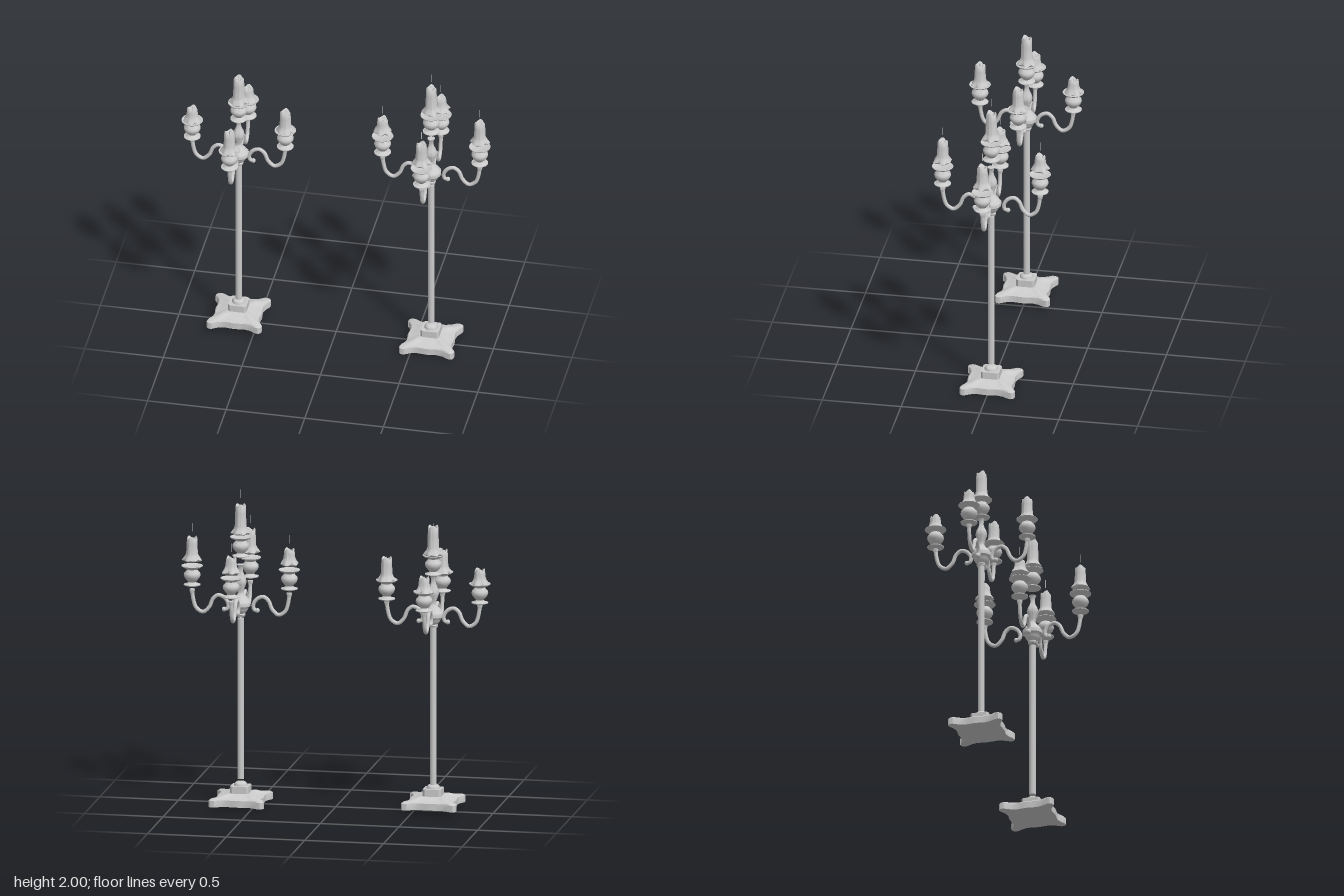
import * as THREE from 'three';
import { toCreasedNormals } from 'three/addons/utils/BufferGeometryUtils.js';

const material = new THREE.MeshStandardMaterial({ color: 0xcccccc, side: THREE.DoubleSide });

function add(parent, name, geometry, x = 0, y = 0, z = 0) {
  const mesh = new THREE.Mesh(geometry, material);
  mesh.name = name;
  mesh.position.set(x, y, z);
  parent.add(mesh);
  return mesh;
}

function lathe(points, segments = 24) {
  const profile = points.map(([r, y]) => new THREE.Vector2(r, y));
  return toCreasedNormals(new THREE.LatheGeometry(profile, segments), 0.8);
}

// Foot: a scalloped square outline lofted through shrinking rings
function footGeometry() {
  const quarter = [[0.175, 0.14], [0.17, 0.165], [0.155, 0.174], [0.135, 0.17], [0.1, 0.15],
    [0.065, 0.141], [0.03, 0.145], [0, 0.148], [-0.03, 0.145], [-0.065, 0.141], [-0.1, 0.15], [-0.135, 0.17], [-0.155, 0.174]];
  const outline = [];
  for (let k = 0; k < 4; k++) {
    const c = Math.round(Math.cos(k * Math.PI / 2)), s = Math.round(Math.sin(k * Math.PI / 2));
    for (const [a, b] of quarter) outline.push([a * c - b * s, a * s + b * c]);
  }
  const rings = [[0, 0], [1, 0], [1, 0.042], [0.95, 0.049], [0.72, 0.054], [0.52, 0.068], [0, 0.07]];
  const n = outline.length, positions = [], index = [];
  for (const [scale, y] of rings) for (const [x, z] of outline) positions.push(x * scale, y, z * scale);
  for (let r = 0; r < rings.length - 1; r++) {
    for (let i = 0; i < n; i++) {
      const a = r * n + i, b = r * n + (i + 1) % n;
      index.push(a, a + n, b, b, a + n, b + n);
    }
  }
  const geometry = new THREE.BufferGeometry();
  geometry.setAttribute('position', new THREE.Float32BufferAttribute(positions, 3));
  geometry.setIndex(index);
  return toCreasedNormals(geometry, 0.6);
}

// Square block with cut corners
function blockGeometry() {
  const s = 0.058, c = 0.046;
  const shape = new THREE.Shape([[s, -c], [s, c], [c, s], [-c, s], [-s, c], [-s, -c], [-c, -s], [c, -s]]
    .map(([x, y]) => new THREE.Vector2(x, y)));
  return new THREE.ExtrudeGeometry(shape, { depth: 0.053, bevelEnabled: false }).rotateX(-Math.PI / 2);
}

// Candle: wax skirt with drips, ragged hollow rim
function candleGeometry(h, phase) {
  const profile = [[0, 0], [0.045, 0], [0.056, 0.01], [0.049, 0.024], [0.041, 0.036], [0.036, 0.052],
    [0.034, h * 0.7], [0.032, h - 0.008], [0.028, h], [0.022, h - 0.004], [0.016, h - 0.018], [0, h - 0.02]];
  const geometry = new THREE.LatheGeometry(profile.map(([r, y]) => new THREE.Vector2(r, y)), 36);
  const p = geometry.attributes.position;
  for (let i = 0; i < p.count; i++) {
    const x = p.getX(i), y = p.getY(i), z = p.getZ(i), t = Math.atan2(z, x);
    const skirt = Math.max(0, 1 - y / 0.06), rim = Math.max(0, 1 - (h - y) / 0.03);
    const lobes = 0.6 * Math.cos(6 * t + phase) + 0.4 * Math.cos(4 * t + 2 * phase);
    const k = 1 + 0.2 * skirt * lobes + 0.03 * Math.cos(5 * t + phase);
    const lift = Math.hypot(x, z) > 0.01 ? rim * 0.008 * (Math.sin(3 * t + phase) - 0.4) : 0;
    p.setXYZ(i, x * k, y + lift - (y > 0.005 ? skirt * 0.005 * lobes : 0), z * k);
  }
  return toCreasedNormals(geometry, 0.9);
}

const cup = lathe([[0, 0], [0.022, 0], [0.03, 0.006], [0.052, 0.01], [0.053, 0.015], [0.03, 0.021], [0.023, 0.03],
  [0.034, 0.042], [0.047, 0.058], [0.053, 0.074], [0.05, 0.088], [0.037, 0.102], [0.033, 0.11],
  [0.042, 0.118], [0.058, 0.123], [0.068, 0.133], [0.066, 0.136], [0.045, 0.13], [0, 0.128]]);

const hub = lathe([[0, 0], [0.028, 0], [0.03, 0.012], [0.025, 0.018], [0.036, 0.028], [0.046, 0.045], [0.05, 0.058],
  [0.062, 0.066], [0.063, 0.09], [0.054, 0.1], [0.044, 0.115], [0.026, 0.135], [0.018, 0.15], [0.022, 0.172],
  [0.034, 0.205], [0.037, 0.222], [0.031, 0.245], [0.02, 0.268], [0.014, 0.29], [0.016, 0.315], [0.024, 0.33], [0, 0.33]]);

// S-curved arm, from the inner curl out to the cup seat
const armPath = new THREE.CatmullRomCurve3([[0.106, 1.232], [0.088, 1.235], [0.079, 1.262], [0.1, 1.303], [0.143, 1.321],
  [0.176, 1.297], [0.2, 1.243], [0.24, 1.21], [0.283, 1.235], [0.302, 1.29], [0.309, 1.353]]
  .map(([x, y]) => new THREE.Vector3(x, y, 0)));
const arm = new THREE.TubeGeometry(armPath, 48, 0.0125, 10);
const curlEnd = new THREE.SphereGeometry(0.015, 12, 8);
const armSocket = lathe([[0, -0.025], [0.013, -0.025], [0.018, -0.006], [0.018, 0], [0, 0]], 16);
const wick = new THREE.CylinderGeometry(0.002, 0.002, 0.053, 6).translate(0, 0.0265, 0);

function addLight(parent, name, x, cupY, candleY, height, wickGap, phase) {
  const group = new THREE.Group();
  group.name = name;
  group.position.x = x;
  add(group, 'cup', cup, 0, cupY);
  add(group, 'candle', candleGeometry(height, phase), 0, candleY);
  add(group, 'wick', wick, 0, candleY + height + wickGap);
  parent.add(group);
}

// d holds the offsets that either join or separate the parts
function candelabrum(name, x, d) {
  const group = new THREE.Group();
  group.name = name;
  group.position.x = x;

  add(group, 'foot', footGeometry(), 0, d.foot);
  add(group, 'footBlock', blockGeometry(), 0, d.foot + 0.06);
  add(group, 'footCollar', lathe([[0.042, 0], [0.042, 0.008], [0.034, 0.018], [0.026, 0.024], [0, 0.024]]), 0, d.foot + 0.113);
  add(group, 'pole', new THREE.CylinderGeometry(0.021, 0.021, 1.025, 20), 0, 0.6675);
  add(group, 'hub', hub, 0, d.hub);
  addLight(group, 'centreLight', 0, d.centreCup, d.centreCandle, 0.19, d.centreWick, 0.4);

  // Four arms: tall candles at left and front, short ones at right and back
  ['left', 'back', 'right', 'front'].forEach((side, i) => {
    const branch = new THREE.Group();
    branch.name = side + 'Branch';
    branch.rotation.y = i * Math.PI / 2;
    add(branch, 'arm', arm, d.armOut, d.armUp);
    add(branch, 'armCurl', curlEnd, 0.106 + d.armOut, 1.232 + d.armUp);
    add(branch, 'armSocket', armSocket, 0.309 + d.armOut, 1.353 + d.armUp);
    const height = side === 'left' || side === 'front' ? 0.155 : 0.105;
    addLight(branch, 'light', 0.309 + d.armOut, d.cup, d.candle, height, d.wick, i * 1.3);
    group.add(branch);
  });
  return group;
}

export function createModel() {
  const model = new THREE.Group();
  model.name = 'candelabra';
  model.add(candelabrum('joinedCandelabrum', -0.62, {
    foot: 0.033, hub: 1.175, centreCup: 1.5, centreCandle: 1.63, centreWick: -0.038,
    armOut: -0.013, armUp: -0.022, cup: 1.33, candle: 1.452, wick: -0.05 }));
  model.add(candelabrum('separatedCandelabrum', 0.604, {
    foot: 0, hub: 1.193, centreCup: 1.565, centreCandle: 1.715, centreWick: 0.042,
    armOut: 0, armUp: 0, cup: 1.368, candle: 1.53, wick: 0.034 }));
  return model;
}
